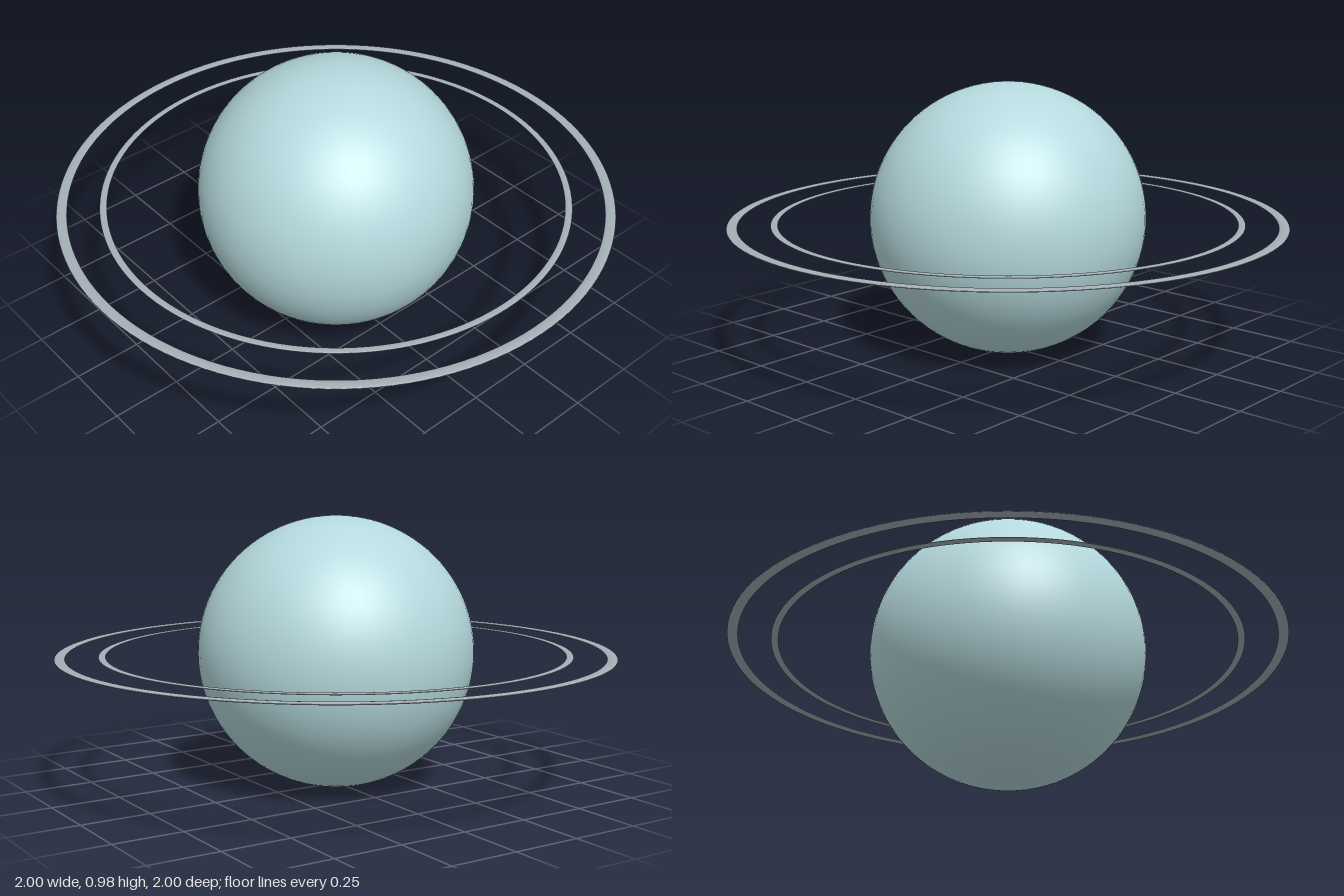
import * as THREE from 'three';

const CENTER_Y = 0.49;

export function createModel() {
  const model = new THREE.Group();
  model.name = 'ringedPlanet';

  const paleCyan = new THREE.MeshStandardMaterial({ name: 'paleCyan', color: 0xb5d9dd });
  const ringGrey = new THREE.MeshStandardMaterial({ name: 'ringGrey', color: 0xa4b0b7 });

  // Planet, slightly flattened at the poles
  const sphere = new THREE.SphereGeometry(0.498, 64, 48);
  sphere.scale(1, CENTER_Y / 0.498, 1);
  const planet = new THREE.Mesh(sphere, paleCyan);
  planet.name = 'planet';
  planet.position.y = CENTER_Y;
  model.add(planet);

  // Thin equatorial rings: flattened tori
  function addRing(name, radius, tube, halfHeight) {
    const geometry = new THREE.TorusGeometry(radius, tube, 16, 128);
    geometry.rotateX(-Math.PI / 2);
    geometry.scale(1, halfHeight / tube, 1);
    const ring = new THREE.Mesh(geometry, ringGrey);
    ring.name = name;
    ring.position.y = CENTER_Y;
    model.add(ring);
  }
  addRing('innerRing', 0.835, 0.013, 0.003);
  addRing('outerRing', 0.981, 0.019, 0.004);

  return model;
}
